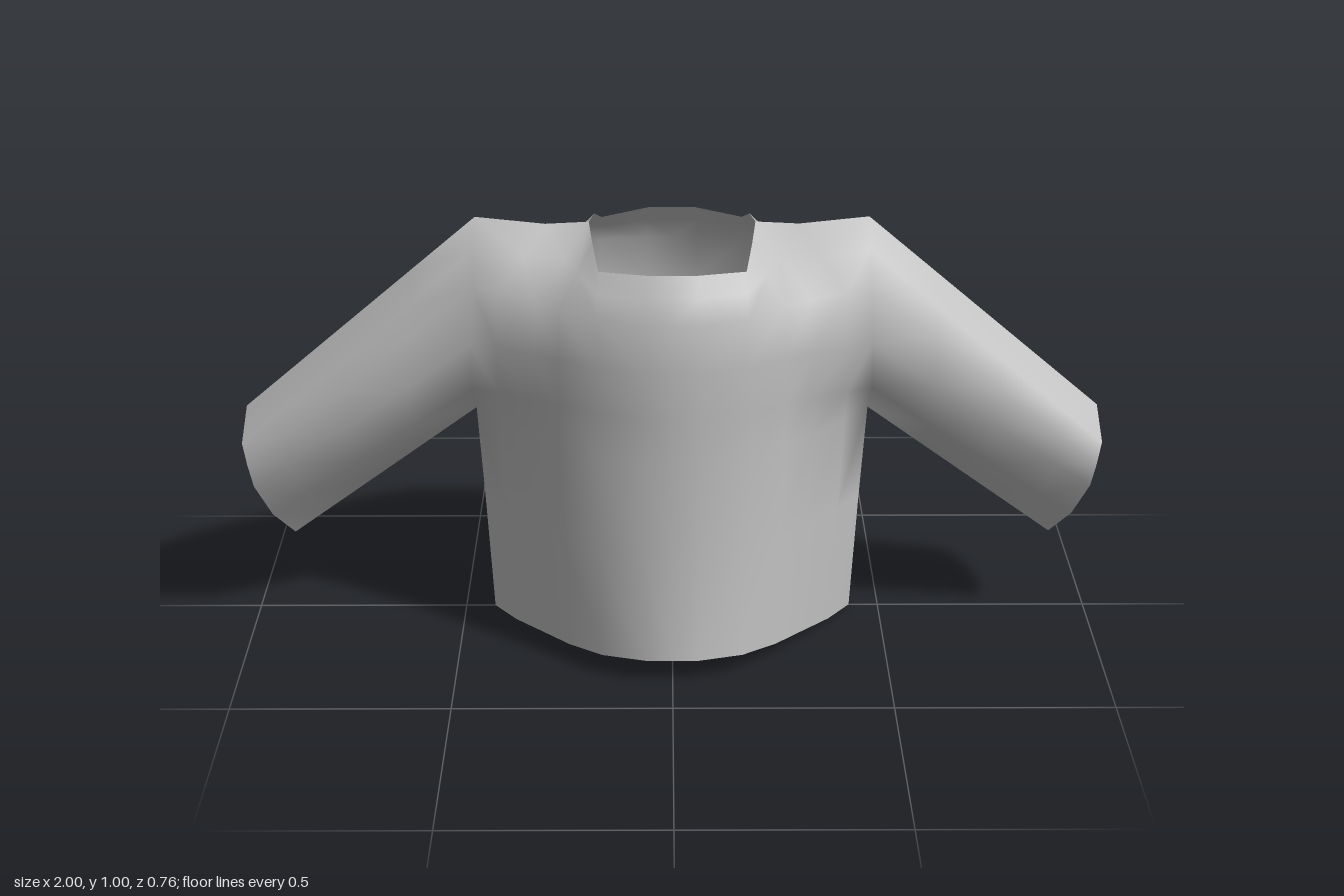
import * as THREE from 'three';
import { mergeGeometries, mergeVertices } from 'three/addons/utils/BufferGeometryUtils.js';

const lerp = THREE.MathUtils.lerp;

// How far each column lies towards the side, and how much it keeps of the centre's depth
const across = [0, .14, .375, .56, .69, .87, 1];
const waistCurve = [1, 1, .9, .71, .52, .26, 0];
const chestCurve = [1, 1, .83, .55, .35, .15, 0];

// A torso row runs from the centre front to the side seam or armhole
const torsoRow = (centreY, depth, width, sideY, sideZ, curve) => across.map((t, i) => [
  width * t,
  lerp(sideY, centreY, curve[i]),
  lerp(sideZ, depth, curve[i]),
]);

const chestTop = torsoRow(.845, .295, .45, .87, .118, chestCurve);
// Neckline, then along the shoulder seam
const neckline = [
  [0, .94, .235], [.055, .94, .235], [.165, .932, .187], [.18, .97, .1],
  [.19, .985, 0], [.29, .98, 0], [.45, .997, 0],
];
// Rounded step between chest and shoulder
const yoke = chestTop.map(([x, y, z], i) => {
  const [nx, ny, nz] = neckline[i];
  return [lerp(x, nx, .55), lerp(y, ny, .55), lerp(z, nz, .45)];
});

const torsoRows = [
  torsoRow(.054, .378, .43, 0, 0, waistCurve),
  torsoRow(.3, .342, .446, .3, 0, waistCurve),
  torsoRow(.53, .322, .46, .525, 0, waistCurve),
  torsoRow(.63, .316, .46, .62, .112, chestCurve),
  torsoRow(.74, .31, .455, .74, .143, chestCurve),
  chestTop,
  yoke,
  neckline,
];

// Half outline of the cuff, bottom to top
const cuff = [[.905, .2, 0], [.945, .28, .07], [.978, .37, .108], [.99, .425, .108], [1, .477, .1], [1, .53, 0]];

// Sleeve rows stretch from the armhole to the cuff
const sleeveStops = [0, .28, .56, .84, 1];
const sleeveRows = torsoRows.slice(2).map((row, i) => {
  const armhole = row[row.length - 1];
  return sleeveStops.map((s) => {
    const [x, y, z] = armhole.map((v, k) => lerp(v, cuff[i][k], s));
    return [x, y, z * (1 + .09 * Math.sin(Math.PI * s))];
  });
});

// Surface through rows of points, optionally mirrored across x and z
function patch(rows, sx, sz) {
  const n = rows[0].length, index = [];
  const position = rows.flat().flatMap(([x, y, z]) => [x * sx, y, z * sz]);
  for (let r = 0; r < rows.length - 1; r++) {
    for (let c = 0; c < n - 1; c++) {
      const a = r * n + c, b = a + 1, d = a + n, e = d + 1;
      if (sx * sz > 0) index.push(a, b, e, a, e, d);
      else index.push(a, e, b, a, d, e);
    }
  }
  const g = new THREE.BufferGeometry();
  g.setAttribute('position', new THREE.Float32BufferAttribute(position, 3));
  g.setIndex(index);
  return g;
}

// One smooth panel with both sleeve halves; the side and shoulder seams stay sharp
function panel(sz) {
  const parts = [1, -1].flatMap((sx) => [patch(torsoRows, sx, sz), patch(sleeveRows, sx, sz)]);
  const g = mergeVertices(mergeGeometries(parts), 1e-4);
  g.computeVertexNormals();
  return g;
}

export function createModel() {
  const group = new THREE.Group();
  group.name = 'shirt';
  const fabric = new THREE.MeshStandardMaterial({ color: 0xc0c0c0, side: THREE.DoubleSide });
  fabric.name = 'grey fabric';
  for (const [name, sz] of [['frontPanel', 1], ['backPanel', -1]]) {
    const mesh = new THREE.Mesh(panel(sz), fabric);
    mesh.name = name;
    group.add(mesh);
  }
  return group;
}
